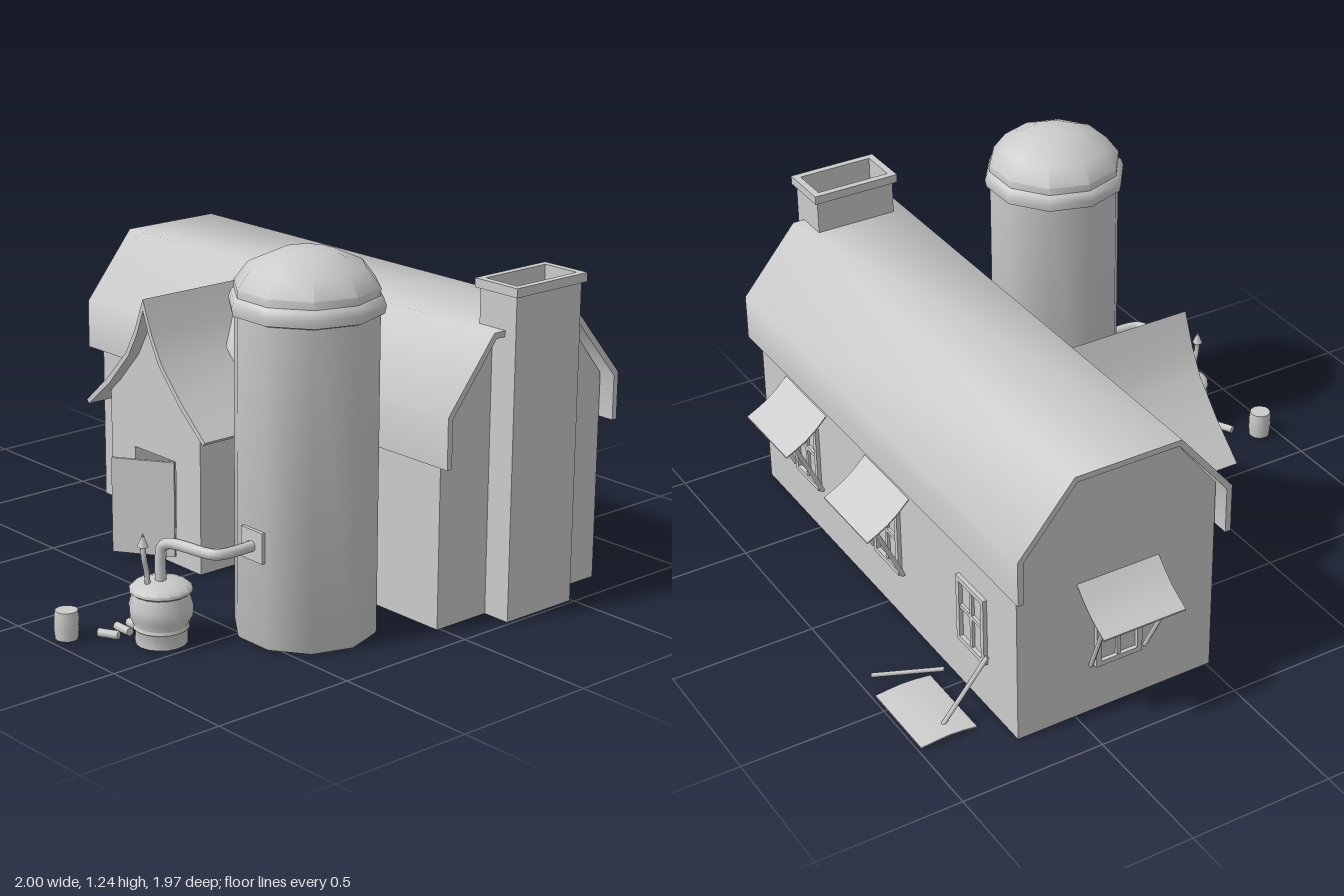
import * as THREE from 'three';
import { toCreasedNormals } from 'three/addons/utils/BufferGeometryUtils.js';

const mat = new THREE.MeshStandardMaterial({ color: 0xcccccc, side: THREE.DoubleSide });
const v = (x, y, z) => new THREE.Vector3(x, y, z);
const shapeOf = pts => new THREE.Shape(pts.map(p => new THREE.Vector2(...p)));
const rect = (x0, y0, x1, y1) => [[x0, y0], [x1, y0], [x1, y1], [x0, y1]];

function add(parent, name, geo, x = 0, y = 0, z = 0) {
  const mesh = new THREE.Mesh(geo, mat);
  mesh.name = name;
  mesh.position.set(x, y, z);
  parent.add(mesh);
  return mesh;
}

function box(parent, name, w, h, d, x, y, z) {
  return add(parent, name, new THREE.BoxGeometry(w, h, d), x, y, z);
}

// Extrusion whose normals are smooth below the crease angle
function extrude(pts, depth, crease = 0.3, hole = null) {
  const shape = shapeOf(pts);
  if (hole) shape.holes.push(shapeOf(hole));
  return toCreasedNormals(new THREE.ExtrudeGeometry(shape, { depth, bevelEnabled: false }), crease);
}

// Straight rod between two points
function rod(parent, name, a, b, r, sides = 6) {
  const mesh = add(parent, name, new THREE.CylinderGeometry(r, r, a.distanceTo(b), sides));
  mesh.position.copy(a).lerp(b, 0.5);
  mesh.quaternion.setFromUnitVectors(v(0, 1, 0), b.clone().sub(a).normalize());
  return mesh;
}

function lathe(parent, name, pts, sides, x, z) {
  const geo = new THREE.LatheGeometry(pts.map(p => new THREE.Vector2(...p)), sides);
  const mesh = add(parent, name, toCreasedNormals(geo, 0.85), x, 0, z);
  mesh.rotation.y = Math.PI / 2;
  return mesh;
}

// Thin curved awning sheet, sloping away from the wall towards +z
function awningSheet(pts) {
  const t = 0.005;
  const outline = [...pts, ...pts.map(([a, b]) => [a, b - t]).reverse()];
  return extrude(outline, 0.3, 0.6).rotateY(-Math.PI / 2).translate(0.15, 0, 0);
}

// Framed window on a wall facing +z, optionally with awning and struts
function makeWindow(parent, x, z, turn, withAwning) {
  const g = new THREE.Group();
  g.name = 'window';
  g.position.set(x, 0, z);
  g.rotation.y = turn;
  add(g, 'windowFrame', extrude(rect(-0.085, 0.175, 0.085, 0.425), 0.014, 0.3, rect(-0.067, 0.193, 0.067, 0.407)));
  box(g, 'windowMullion', 0.014, 0.22, 0.01, 0, 0.3, 0.005);
  box(g, 'windowCrossbar', 0.14, 0.014, 0.01, 0, 0.31, 0.005);
  if (withAwning) {
    add(g, 'awning', awningSheet([[0, 0.515], [0.04, 0.475], [0.08, 0.443], [0.12, 0.42], [0.155, 0.402]]));
    for (const s of [-1, 1])
      rod(g, 'awningStrut', v(s * 0.1, 0.185, 0.005), v(s * 0.12, 0.42, 0.115), 0.008);
  }
  parent.add(g);
}

function addBarn(root) {
  const barn = new THREE.Group();
  barn.name = 'barn';
  root.add(barn);
  // Solid walls and gables
  const wall = [[0.012, 0], [0.012, 0.71], [-0.165, 0.937], [-0.525, 0.937], [-0.71, 0.71], [-0.71, 0]];
  add(barn, 'walls', extrude(wall, 1.727), 0.887).rotation.y = -Math.PI / 2;
  // Gambrel roof shell
  const roof = [
    [0.037, 0.55], [0.037, 0.72], [-0.155, 0.955], [-0.535, 0.955], [-0.735, 0.72], [-0.735, 0.56],
    [-0.715, 0.56], [-0.715, 0.712], [-0.525, 0.935], [-0.165, 0.935], [0.017, 0.712], [0.017, 0.55],
  ];
  add(barn, 'roof', extrude(roof, 1.835, 1.05), 0.942).rotation.y = -Math.PI / 2;
  // Chimney, open at the top
  box(barn, 'chimneyShaft', 0.157, 0.95, 0.29, 0.909, 0.475, -0.347);
  const ring = (name, w, d, h, y) => {
    const geo = extrude(rect(-w / 2, -d / 2, w / 2, d / 2), h, 0.3, rect(-0.067, -0.133, 0.067, 0.133));
    add(barn, name, geo, 0.909, y, -0.347).rotation.x = -Math.PI / 2;
  };
  ring('chimneyTop', 0.157, 0.29, 0.125, 0.95);
  ring('chimneyRim', 0.182, 0.315, 0.03, 1.072);
  // Windows at the back and on the end wall
  for (const x of [0.555, -0.02]) makeWindow(barn, x, -0.71, Math.PI, true);
  makeWindow(barn, -0.575, -0.71, Math.PI, false);
  makeWindow(barn, -0.84, -0.345, -Math.PI / 2, true);
  // Broken awning lying on the ground
  const fallen = awningSheet([[0, 0.008], [0.05, 0.013], [0.1, 0.016], [0.15, 0.013], [0.2, 0.006]]);
  add(barn, 'fallenAwning', fallen, -0.575, 0, -0.99);
  rod(barn, 'leaningStrut', v(-0.665, 0.21, -0.715), v(-0.665, 0.01, -0.88), 0.008);
  rod(barn, 'fallenStrut', v(-0.425, 0.01, -0.74), v(-0.33, 0.01, -0.955), 0.008);
}

function addPorch(root) {
  const porch = new THREE.Group();
  porch.name = 'porch';
  porch.position.x = -0.21;
  root.add(porch);
  // Gabled walls with a doorway
  const wall = [[-0.24, 0], [0.24, 0], [0.24, 0.535], [0.09, 0.69], [0, 0.87], [-0.09, 0.69], [-0.24, 0.535]];
  add(porch, 'porchWalls', extrude(wall, 0.275, 0.3, rect(-0.11, 0.03, 0.11, 0.365)));
  // Flared roof, drawn as one half and mirrored
  const outer = [[0, 0.912], [0.045, 0.8], [0.095, 0.71], [0.2, 0.598], [0.32, 0.492]];
  const inner = [[0, 0.872], [0.033, 0.787], [0.082, 0.7], [0.188, 0.583], [0.308, 0.48]];
  const flip = pts => pts.slice(1).map(([x, y]) => [-x, y]);
  const outline = [...flip(outer).reverse(), ...outer, ...[...inner].reverse(), ...flip(inner)];
  add(porch, 'porchRoof', extrude(outline, 0.44, 0.6), 0, 0, -0.12);
  // Door standing ajar, hinged on its right edge
  const door = add(porch, 'door', new THREE.BoxGeometry(0.22, 0.335, 0.012).translate(-0.11, 0, 0), 0.11, 0.197, 0.28);
  door.rotation.y = 0.6;
  // Side window
  const side = new THREE.Group();
  side.name = 'porchSideWindow';
  side.position.set(0, -0.07, 0);
  makeWindow(side, -0.24, 0.15, -Math.PI / 2, false);
  side.scale.set(1, 0.9, 0.8);
  side.position.set(0, -0.02, 0.03);
  porch.add(side);
}

function addSilo(root) {
  lathe(root, 'silo', [
    [0, 0], [0.225, 0], [0.23, 0.01], [0.23, 1.04], [0.243, 1.045], [0.248, 1.07], [0.24, 1.092],
    [0.23, 1.1], [0.23, 1.125], [0.185, 1.185], [0.09, 1.228], [0, 1.236],
  ], 10, 0.597, 0.312);
  box(root, 'pipeFlange', 0.1, 0.1, 0.016, 0.607, 0.335, 0.535);
}

function addStill(root) {
  const still = new THREE.Group();
  still.name = 'still';
  root.add(still);
  const x = 0.392, z = 0.73;
  lathe(still, 'pot', [
    [0, 0], [0.083, 0], [0.083, 0.045], [0.09, 0.052], [0.086, 0.062], [0.1, 0.09], [0.102, 0.125],
    [0.09, 0.165], [0.1, 0.172], [0.1, 0.182], [0.085, 0.195], [0.05, 0.204], [0, 0.207],
  ], 16, x, z);
  // Main pipe up from the pot and across to the silo
  const pipe = new THREE.CatmullRomCurve3([
    v(x, 0.19, z), v(x, 0.28, z), v(x + 0.005, 0.315, z - 0.002), v(x + 0.035, 0.332, z - 0.01),
    v(0.56, 0.332, 0.69), v(0.595, 0.332, 0.675), v(0.607, 0.332, 0.645), v(0.607, 0.332, 0.53),
  ], false, 'centripetal');
  add(still, 'mainPipe', new THREE.TubeGeometry(pipe, 48, 0.018, 10));
  // Thin vent with a pointed cap
  const vent = new THREE.CatmullRomCurve3([
    v(0.385, 0.18, 0.775), v(0.388, 0.24, 0.782), v(0.392, 0.29, 0.795), v(0.39, 0.335, 0.797)]);
  add(still, 'vent', new THREE.TubeGeometry(vent, 16, 0.009, 8));
  add(still, 'ventCap', new THREE.ConeGeometry(0.018, 0.045, 8), 0.39, 0.352, 0.797);
  // Cup and loose logs
  lathe(still, 'cup', [[0, 0], [0.037, 0], [0.04, 0.03], [0.04, 0.07], [0.037, 0.095], [0, 0.095]], 12, 0.18, 0.94);
  for (const [lx, lz, turn] of [[0.262, 0.732, 0], [0.262, 0.78, 0], [0.265, 0.84, 0.48]]) {
    const d = v(Math.cos(turn), 0, -Math.sin(turn)).multiplyScalar(0.035);
    const c = v(lx, 0.014, lz);
    rod(still, 'log', c.clone().sub(d), c.clone().add(d), 0.014, 8);
  }
}

export function createModel() {
  const root = new THREE.Group();
  root.name = 'farmstead';
  addBarn(root);
  addPorch(root);
  addSilo(root);
  addStill(root);
  return root;
}
